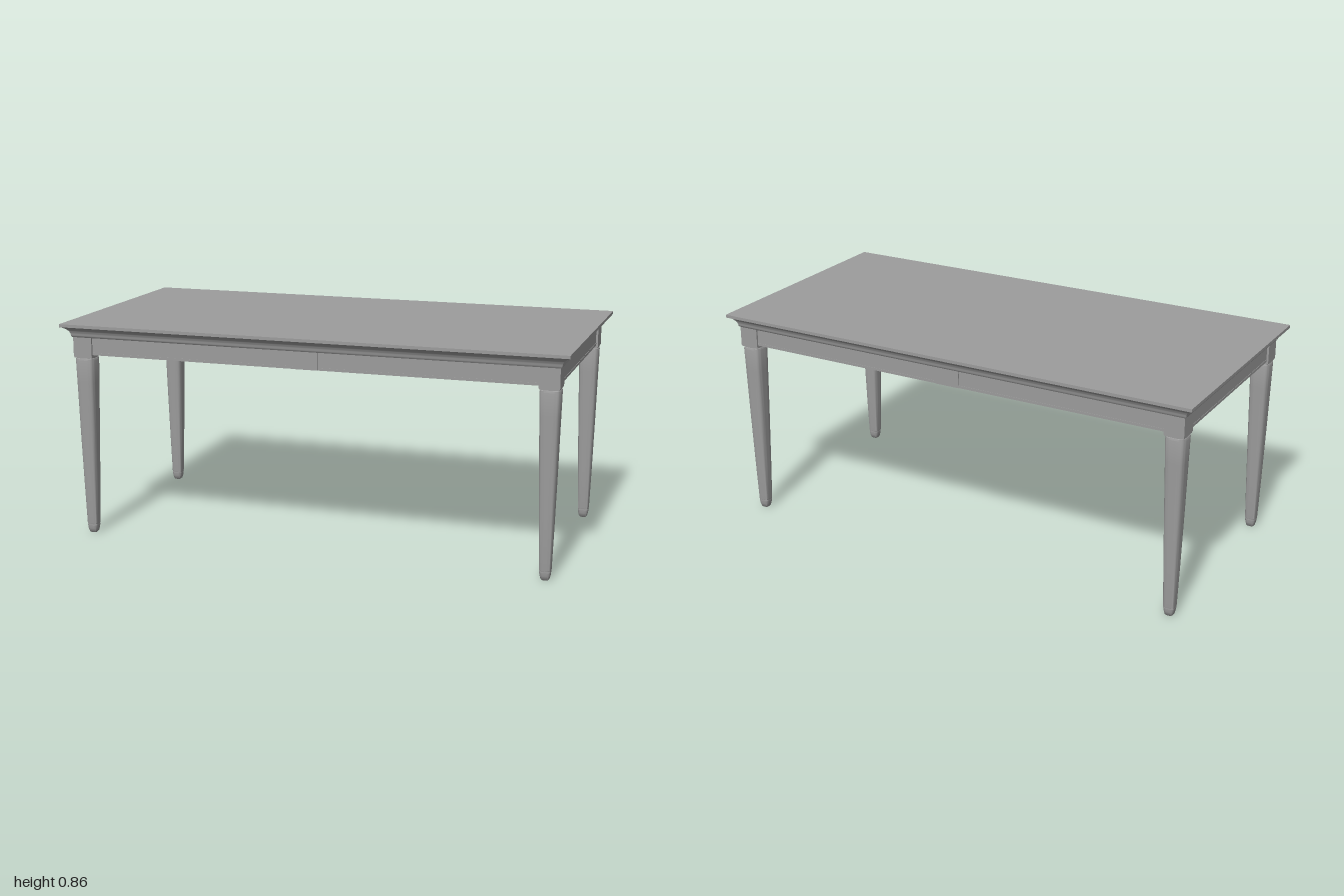
import * as THREE from 'three';
import { toCreasedNormals } from 'three/addons/utils/BufferGeometryUtils.js';

const material = new THREE.MeshStandardMaterial({ color: 0x9c9c9c });
const HALF_X = 1, HALF_Z = 0.49;   // table top
const LEG_X = 0.922, LEG_Z = 0.413, BLOCK = 0.078;

function part(name, geometry, x = 0, y = 0, z = 0) {
  const mesh = new THREE.Mesh(geometry, material);
  mesh.name = name;
  mesh.position.set(x, y, z);
  return mesh;
}

// Sweeps a profile of [inset, y] points round the rectangle, with mitred corners
function mitredRing(profile) {
  const corners = [[1, 1], [1, -1], [-1, -1], [-1, 1]];
  const positions = [];
  const at = ([sx, sz], [inset, y]) => [sx * (HALF_X - inset), y, sz * (HALF_Z - inset)];
  for (let s = 0; s < 4; s++) {
    const a = corners[s], b = corners[(s + 1) % 4];
    for (let i = 0; i < profile.length - 1; i++) {
      const p = at(a, profile[i]), q = at(b, profile[i]);
      const r = at(a, profile[i + 1]), t = at(b, profile[i + 1]);
      positions.push(...p, ...r, ...t, ...p, ...t, ...q);
    }
  }
  const geometry = new THREE.BufferGeometry();
  geometry.setAttribute('position', new THREE.Float32BufferAttribute(positions, 3));
  geometry.computeVertexNormals();
  return toCreasedNormals(geometry, 0.6);
}

function createTop() {
  // Flat top, square lip, cove moulding, small bead, then the flat underside
  const cove = new THREE.CubicBezierCurve(
    new THREE.Vector2(0, 0.847), new THREE.Vector2(0.016, 0.842),
    new THREE.Vector2(0.03, 0.832), new THREE.Vector2(0.033, 0.812)
  ).getPoints(10).map((p) => [p.x, p.y]);
  return part('tableTop', mitredRing([
    [HALF_Z, 0.859], [0, 0.859], ...cove,
    [0.034, 0.807], [0.037, 0.804], [HALF_Z, 0.804],
  ]));
}

// Lathe whose round section is swelled into a soft square
function softSquareLathe(profile) {
  const points = profile.map(([r, y]) => new THREE.Vector2(r, y));
  const geometry = new THREE.LatheGeometry(points, 48);
  const pos = geometry.attributes.position;
  for (let i = 0; i < pos.count; i++) {
    const x = pos.getX(i), z = pos.getZ(i);
    const r = Math.hypot(x, z);
    if (r < 1e-6) continue;
    const swell = Math.pow((x / r) ** 4 + (z / r) ** 4, -0.25);
    pos.setX(i, x * swell);
    pos.setZ(i, z * swell);
  }
  return toCreasedNormals(geometry, 0.6);
}

function createLeg(sx, sz) {
  const leg = new THREE.Group();
  leg.name = 'leg';
  leg.position.set(sx * LEG_X, 0, sz * LEG_Z);

  // Square block with a slightly narrower foot edge
  leg.add(part('legBlock', new THREE.BoxGeometry(BLOCK, 0.08, BLOCK), 0, 0.767, 0));
  leg.add(part('legBlockEdge', new THREE.BoxGeometry(BLOCK - 0.004, 0.005, BLOCK - 0.004), 0, 0.7245, 0));

  // Tapering shaft with a ringed, rounded foot
  leg.add(part('legShaft', softSquareLathe([
    [0, 0], [0.012, 0], [0.016, 0.004], [0.0195, 0.018], [0.0215, 0.032],
    [0.0208, 0.034], [0.0208, 0.037], [0.022, 0.039],
    [0.0268, 0.2], [0.0325, 0.42], [0.037, 0.62], [0.0392, 0.712],
    [0.038, 0.718], [0.036, 0.72], [0.036, 0.726],
  ])));
  return leg;
}

// Apron board with a slightly proud bead along its lower edge
function createApron(name, length, x, z, alongX) {
  const apron = new THREE.Group();
  apron.name = name;
  const board = (n, height, thickness, y) => part(n, alongX
    ? new THREE.BoxGeometry(length, height, thickness)
    : new THREE.BoxGeometry(thickness, height, length), x, y, z);
  apron.add(board('apronBoard', 0.07, 0.02, 0.771));
  apron.add(board('apronBead', 0.01, 0.023, 0.74));
  return apron;
}

export function createModel() {
  const table = new THREE.Group();
  table.name = 'diningTable';
  table.add(createTop());

  const spanX = LEG_X - BLOCK / 2, spanZ = LEG_Z - BLOCK / 2;
  for (const s of [1, -1]) {
    for (const t of [1, -1]) table.add(createLeg(s, t));
    table.add(createApron('longApron', spanX * 2, 0, s * 0.434, true));
    // Short raised block at the middle of each long apron
    table.add(part('apronCentreBlock', new THREE.BoxGeometry(0.1, 0.07, 0.01), 0, 0.77, s * 0.443));
    table.add(createApron('endApron', spanZ * 2, s * 0.943, 0, false));
  }
  return table;
}
